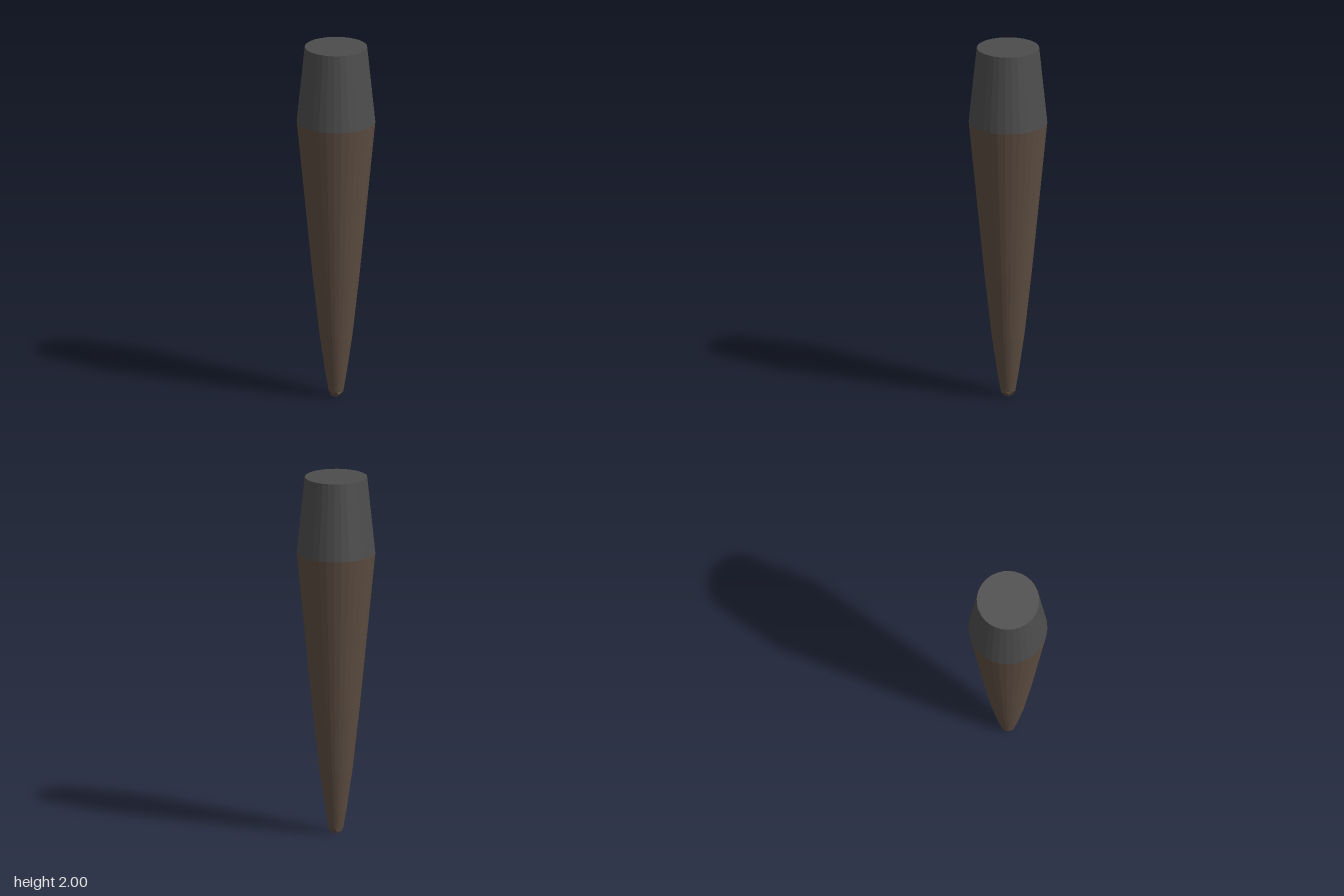
import * as THREE from 'three';

const SIDES = 32;

function turned(name, profile, color) {
  const points = profile.map(([r, y]) => new THREE.Vector2(r, y));
  const material = new THREE.MeshStandardMaterial({ color, flatShading: true });
  const mesh = new THREE.Mesh(new THREE.LatheGeometry(points, SIDES), material);
  mesh.name = name;
  return mesh;
}

export function createModel() {
  const group = new THREE.Group();
  group.name = 'taperedStake';

  // Long wooden shaft, narrowing faster towards the tip
  const shaft = turned('shaft', [
    [0, 0.035], [0.04, 0.035], [0.058, 0.14], [0.09, 0.36], [0.13, 0.72], [0.214, 1.575],
  ], 0x5c4c40);

  // Grey cap with a flat top
  const cap = turned('cap', [[0.214, 1.575], [0.17, 2], [0, 2]], 0x4c4c4c);

  // Small faceted tip, slightly tilted
  const tip = new THREE.Mesh(new THREE.DodecahedronGeometry(0.042), shaft.material);
  tip.name = 'tip';
  tip.rotation.set(-0.25, 0.2, 0);
  tip.position.y = 0.041;

  group.add(shaft, cap, tip);
  return group;
}
